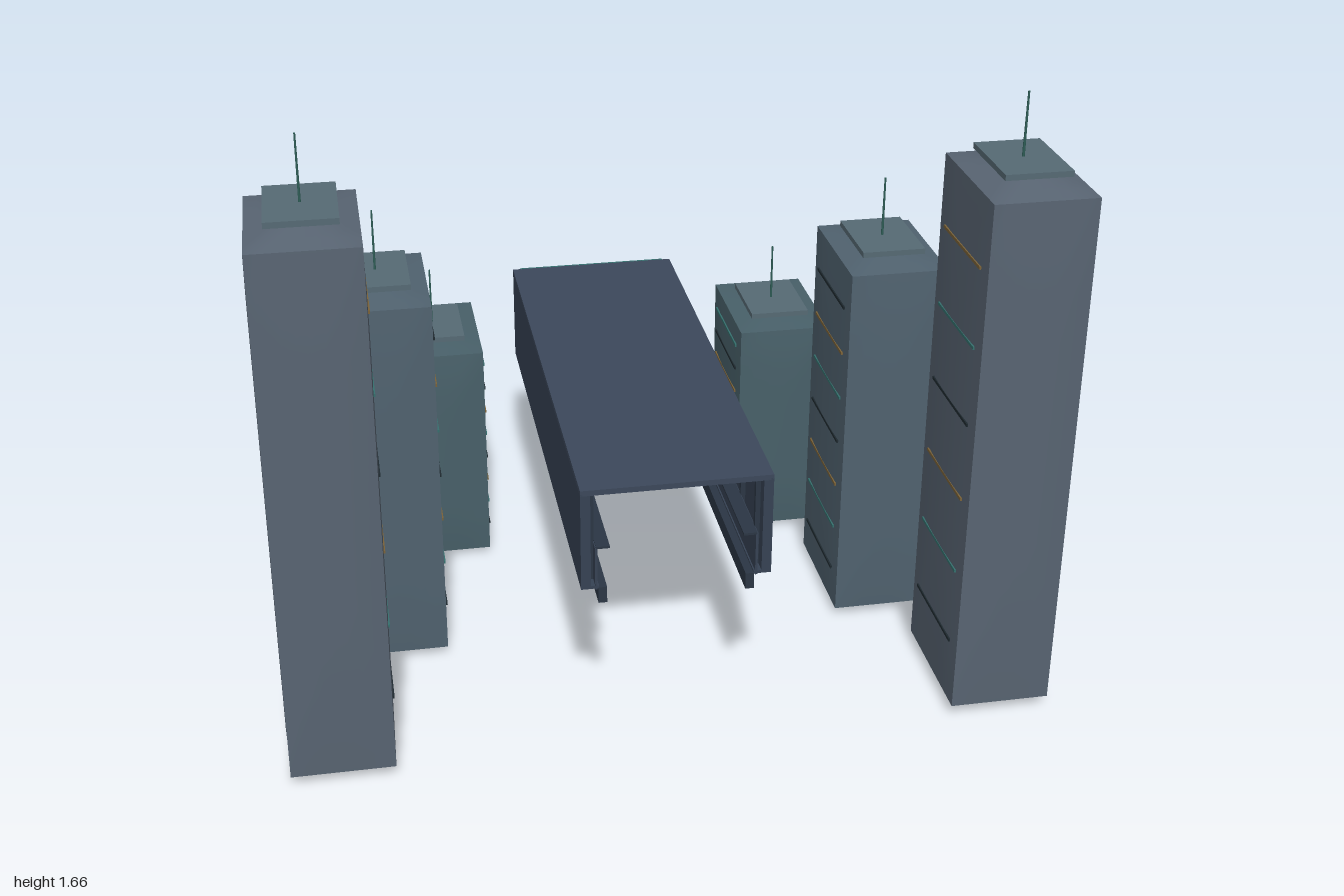
import * as THREE from 'three';

const mat = (color) => new THREE.MeshStandardMaterial({ color });
const trimDark = mat(0x1f2a30), amber = mat(0x7a6238), teal = mat(0x35706e);
const plateMat = mat(0x566a74), mastMat = mat(0x2f5f58);
const roofMat = mat(0x3c485b), wallMat = mat(0x364254), frameMat = mat(0x2b3644);

function box(parent, name, material, w, h, d, x, y, z) {
  const mesh = new THREE.Mesh(new THREE.BoxGeometry(w, h, d), material);
  mesh.name = name;
  mesh.position.set(x, y, z);
  parent.add(mesh);
  return mesh;
}

// Box whose faces swell gently towards their centres
function bulgedBox(w, h, d) {
  const g = new THREE.BoxGeometry(2, 2, 2, 8, 12, 8);
  const p = g.attributes.position;
  const k = 0.045;
  for (let i = 0; i < p.count; i++) {
    const x = p.getX(i), y = p.getY(i), z = p.getZ(i);
    const ax = Math.abs(x), ay = Math.abs(y), az = Math.abs(z);
    p.setXYZ(i,
      x * (1 - k * Math.max(ay ** 4, az * az)) * w / 2,
      y * (1 - k * Math.max(ax, az)) * h / 2,
      z * (1 - k * Math.max(ay ** 4, ax * ax)) * d / 2);
  }
  g.computeVertexNormals();
  return g;
}

// One tower; inner is the x direction facing the walkway
function tower({ x, z, height, rows, color }, side) {
  const g = new THREE.Group();
  g.name = 'tower';
  g.position.set(side * x, 0, z);
  const w = 0.275, d = 0.375, inner = -side;

  const body = new THREE.Mesh(bulgedBox(w, height, d), mat(color));
  body.name = 'towerBody';
  body.position.y = height / 2;
  g.add(body);

  // Roof plate and mast
  box(g, 'roofPlate', plateMat, 0.17, 0.015, 0.23, 0, height + 0.006, 0);
  const mast = new THREE.Mesh(new THREE.CylinderGeometry(0.0025, 0.0035, 0.165, 6), mastMat);
  mast.name = 'mast';
  mast.position.y = height + 0.095;
  g.add(mast);

  // Thin window strips on the inner and back faces
  const step = height / (rows + 1);
  for (let i = 1; i <= rows; i++) {
    const m = i % 3 === 0 ? amber : i % 3 === 1 ? trimDark : teal;
    box(g, 'innerStrip', m, 0.012, 0.008, d * 0.72, inner * (w / 2 - 0.005), i * step, 0);
    box(g, 'backStrip', i % 2 ? trimDark : teal, w * 0.72, 0.008, 0.012, 0, i * step, -d / 2 + 0.005);
  }

  // Short vertical slots on the outer face
  const slots = Math.max(2, Math.round(height / 0.36));
  for (let i = 0; i < slots; i++) {
    box(g, 'outerSlot', trimDark, 0.008, 0.055, 0.008,
      side * (w / 2 - 0.003), (i + 0.5) * height / slots, 0);
  }
  return g;
}

function walkway() {
  const g = new THREE.Group();
  g.name = 'coveredWalkway';
  const len = 1.37, zc = -0.04;
  box(g, 'roof', roofMat, 0.485, 0.015, len, 0, 0.7325, zc);
  box(g, 'backRoofTrim', teal, 0.44, 0.01, 0.008, 0, 0.735, -0.727);

  for (const s of [-1, 1]) {
    box(g, 'outerWall', wallMat, 0.025, 0.27, len, s * 0.23, 0.595, zc);
    box(g, 'innerPanel', wallMat, 0.006, 0.12, len, s * 0.204, 0.515, zc);
    box(g, 'shelfRail', frameMat, 0.035, 0.006, len, s * 0.187, 0.575, zc);
    box(g, 'wallFoot', wallMat, 0.045, 0.008, len, s * 0.22, 0.462, zc);
    box(g, 'bottomRail', frameMat, 0.022, 0.045, len, s * 0.188, 0.4375, zc);
    // Upright frames along the inside of the wall
    for (let i = 0; i < 9; i++) {
      box(g, 'wallPost', frameMat, 0.014, 0.265, 0.014, s * 0.212, 0.594, zc - len / 2 + 0.04 + i * (len - 0.08) / 8);
    }
  }

  // Hanging board with a row of small lamps on its back
  box(g, 'hangingBoard', frameMat, 0.15, 0.028, 0.02, 0, 0.682, -0.55);
  for (let i = 0; i < 4; i++) {
    box(g, 'boardLamp', teal, 0.02, 0.01, 0.004, -0.048 + i * 0.032, 0.682, -0.561);
  }
  return g;
}

export function createModel() {
  const model = new THREE.Group();
  model.name = 'towerAvenue';
  const specs = [
    { x: 0.858, z: 0.535, height: 1.48, rows: 6, color: 0x586472 },
    { x: 0.683, z: 0.02, height: 1.08, rows: 7, color: 0x50626f },
    { x: 0.511, z: -0.495, height: 0.68, rows: 8, color: 0x486069 },
  ];
  for (const side of [-1, 1]) {
    for (const spec of specs) model.add(tower(spec, side));
  }
  model.add(walkway());
  return model;
}
